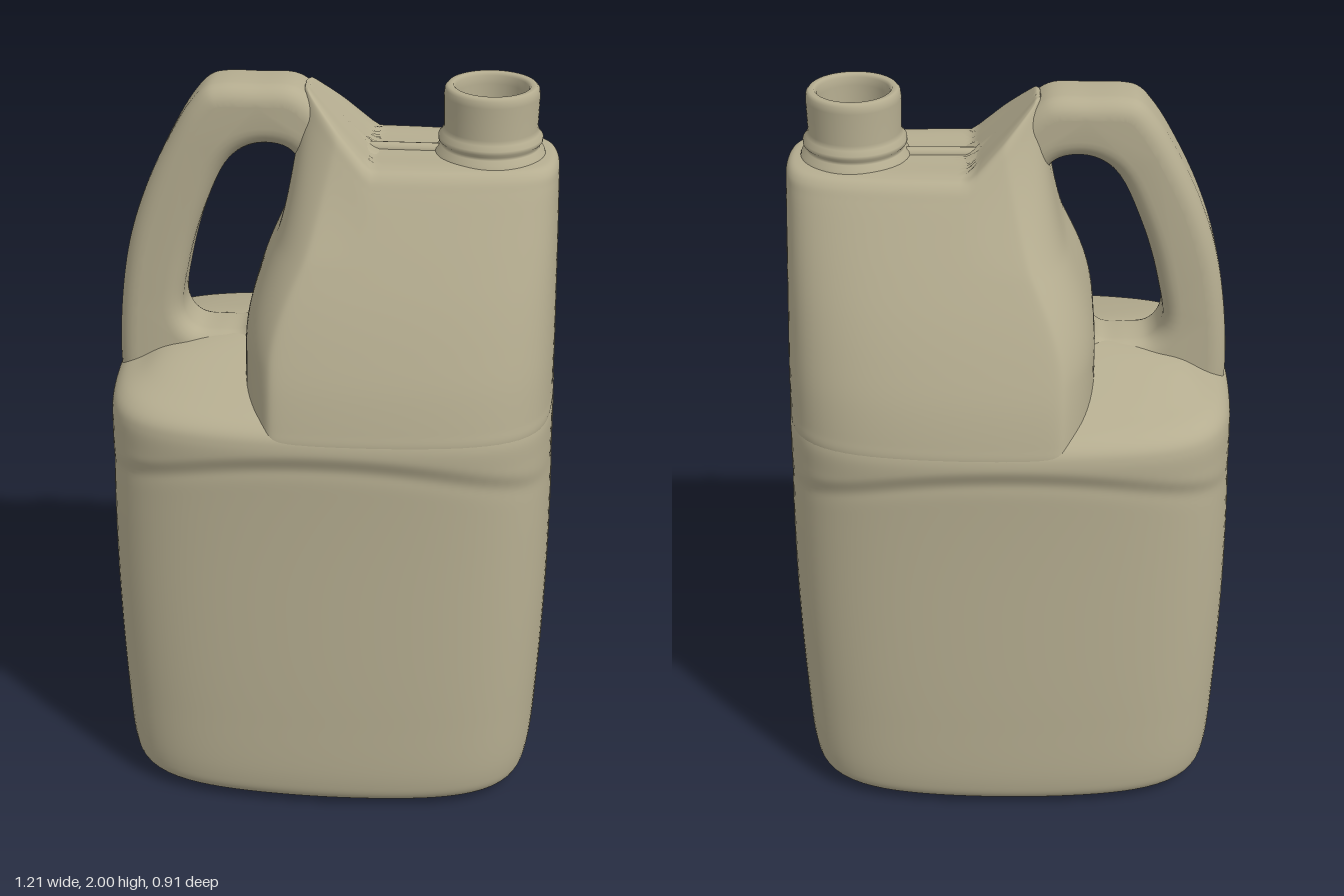
import * as THREE from 'three';

const SEG = 144;
const smooth = THREE.MathUtils.smoothstep;

// Smooth loft of barrel-sided rounded rectangles: rows are [height, half width, half depth]
function loft(profile, rows, shape) {
  const curve = new THREE.CatmullRomCurve3(profile.map(([y, a, b]) => new THREE.Vector3(a, y, b)));
  const pos = [], idx = [];
  curve.getPoints(rows).forEach((r, i) => {
    for (let j = 0; j < SEG; j++) {
      const t = (j / SEG) * Math.PI * 2, c = Math.cos(t), s = Math.sin(t);
      const k = Math.pow(Math.abs(c) ** 6 + Math.abs(s) ** 6, -1 / 6);
      const u = k * c, v = k * s;
      const p = new THREE.Vector3(r.x * u * (1 - 0.06 * v * v), r.y, r.z * v * (1 - 0.13 * u * u));
      shape(p, r);
      pos.push(p.x, p.y, p.z);
      if (i < rows) {
        const a = i * SEG + j, b = i * SEG + (j + 1) % SEG;
        idx.push(a, a + SEG, b, b, a + SEG, b + SEG);
      }
    }
  });
  const g = new THREE.BufferGeometry();
  g.setAttribute('position', new THREE.Float32BufferAttribute(pos, 3));
  g.setIndex(idx);
  g.computeVertexNormals();
  return g;
}

const spline = (pts, closed) =>
  new THREE.CatmullRomCurve3(pts.map(([x, y]) => new THREE.Vector3(x, y, 0)), closed)
    .getPoints(pts.length * 6).map(p => new THREE.Vector2(p.x, p.y));

export function createModel() {
  const group = new THREE.Group();
  const plastic = new THREE.MeshStandardMaterial({ color: 0xb5ad90 });
  plastic.name = 'beige plastic';
  const add = (name, geometry) => {
    const m = new THREE.Mesh(geometry, plastic);
    m.name = name;
    group.add(m);
    return m;
  };

  // Lower body: rounded base, recessed label panel under an arched crease, domed shoulder
  add('lowerBody', loft([
    [0.012, 0.001, 0.001], [0.01, 0.3, 0.22], [0.006, 0.48, 0.36], [0.018, 0.535, 0.41], [0.05, 0.567, 0.442],
    [0.1, 0.58, 0.453], [0.3, 0.594, 0.456], [0.6, 0.604, 0.457], [0.85, 0.604, 0.457], [1.0, 0.6, 0.457],
    [1.08, 0.599, 0.457], [1.15, 0.597, 0.456], [1.18, 0.59, 0.447], [1.205, 0.572, 0.42], [1.235, 0.52, 0.34],
    [1.275, 0.44, 0.2], [1.305, 0.25, 0.08], [1.31, 0.001, 0.001],
  ], 160, p => {
    const line = 1.115 - 0.3 * p.x * p.x;
    const recess = (1 - smooth(p.y, line - 0.04, line + 0.025)) * smooth(p.y, 0.2, 1);
    const groove = Math.exp(-(((p.y - line + 0.02) / 0.03) ** 2));
    p.z *= 1 - 0.03 * recess - 0.008 * groove;
    // shallow dent at the foot of both ends
    p.x *= 1 - 0.03 * Math.exp(-((p.z / 0.09) ** 2)) * (1 - smooth(p.y, 0.03, 0.14));
  }));

  // Upper body: tapers in depth, is cut back beside the grip, and its top ramps up into the handle
  add('upperBody', loft([
    [1.1, 0.58, 0.44], [1.16, 0.595, 0.453], [1.2, 0.594, 0.447], [1.3, 0.593, 0.423], [1.4, 0.591, 0.388],
    [1.5, 0.589, 0.347], [1.6, 0.587, 0.3], [1.7, 0.584, 0.25], [1.77, 0.582, 0.214], [1.8, 0.579, 0.197],
    [1.816, 0.568, 0.18], [1.822, 0.54, 0.155], [1.822, 0.3, 0.07], [1.822, 0.001, 0.001],
  ], 110, (p, r) => {
    const wall = -0.228 + 0.15 * smooth(p.y, 1.35, 1.85) + 0.09 * (p.z / r.z) ** 4;
    const d = p.x - wall;
    p.x = wall + (d + Math.sqrt(d * d + 0.004)) / 2;
    const ramp = smooth(p.y, 1.6, 1.815) * THREE.MathUtils.clamp((0.1 - p.x) / 0.165, 0, 1);
    p.y += 0.165 * ramp;
    p.z = p.z * (1 - 0.45 * ramp) + 0.01 * smooth(r.y, 1.2, 1.8);
  }));

  // Handle: rounded arch with a grip hole
  const outer = spline([
    [-0.575, 1.12], [-0.583, 1.22], [-0.572, 1.4], [-0.545, 1.56], [-0.5, 1.7], [-0.44, 1.83], [-0.375, 1.94],
    [-0.33, 1.988], [-0.29, 1.999], [-0.2, 2.0], [-0.11, 1.999], [-0.07, 1.98], [0.01, 1.905], [0.08, 1.84],
    [0.13, 1.817], [0.2, 1.8],
  ], false);
  const handleShape = new THREE.Shape([...outer, new THREE.Vector2(0.2, 1.12)]);
  const grip = spline([
    [-0.405, 1.36], [-0.39, 1.49], [-0.34, 1.66], [-0.27, 1.8], [-0.2, 1.84], [-0.12, 1.83], [-0.08, 1.77],
    [-0.105, 1.69], [-0.175, 1.53], [-0.205, 1.37], [-0.24, 1.312], [-0.3, 1.305], [-0.37, 1.312],
  ], true);
  grip.pop();
  handleShape.holes.push(new THREE.Path(grip.reverse()));
  const bevel = 0.05;
  const handle = new THREE.ExtrudeGeometry(handleShape, {
    depth: 0.19 - 2 * bevel, steps: 1, bevelEnabled: true, bevelThickness: bevel, bevelSize: bevel,
    bevelOffset: -bevel, bevelSegments: 6,
  });
  handle.translate(0, 0, bevel - 0.085);
  add('handle', toSmooth(handle));

  // Neck: hollow spout with a collar
  const neck = add('neck', new THREE.LatheGeometry([
    [0.146, 1.81], [0.14, 1.83], [0.128, 1.84], [0.128, 1.848], [0.135, 1.856], [0.135, 1.866], [0.126, 1.878],
    [0.121, 1.89], [0.123, 1.975], [0.121, 1.992], [0.114, 2.0], [0.1, 2.0], [0.094, 1.992], [0.092, 1.97],
    [0.092, 1.875], [0.088, 1.87], [0.08, 1.87], [0.0, 1.87],
  ].map(([r, y]) => new THREE.Vector2(r, y)), 64));
  neck.position.set(0.402, 0, 0.015);

  // Mould seam between neck and handle
  const seam = add('seamRidge', new THREE.CylinderGeometry(0.017, 0.017, 0.2, 12));
  seam.rotation.z = Math.PI / 2;
  seam.position.set(0.19, 1.82, 0.015);

  return group;
}

// Averages normals of faces meeting at a shared point
function toSmooth(geometry) {
  const p = geometry.attributes.position, sums = new Map(), normals = [];
  const key = i => [p.getX(i), p.getY(i), p.getZ(i)].map(v => Math.round(v * 1e4)).join();
  geometry.computeVertexNormals();
  const n = geometry.attributes.normal;
  for (let i = 0; i < p.count; i++) {
    if (!sums.has(key(i))) sums.set(key(i), new THREE.Vector3());
    sums.get(key(i)).add(new THREE.Vector3().fromBufferAttribute(n, i));
  }
  for (let i = 0; i < p.count; i++) normals.push(...sums.get(key(i)).clone().normalize().toArray());
  geometry.setAttribute('normal', new THREE.Float32BufferAttribute(normals, 3));
  return geometry;
}
